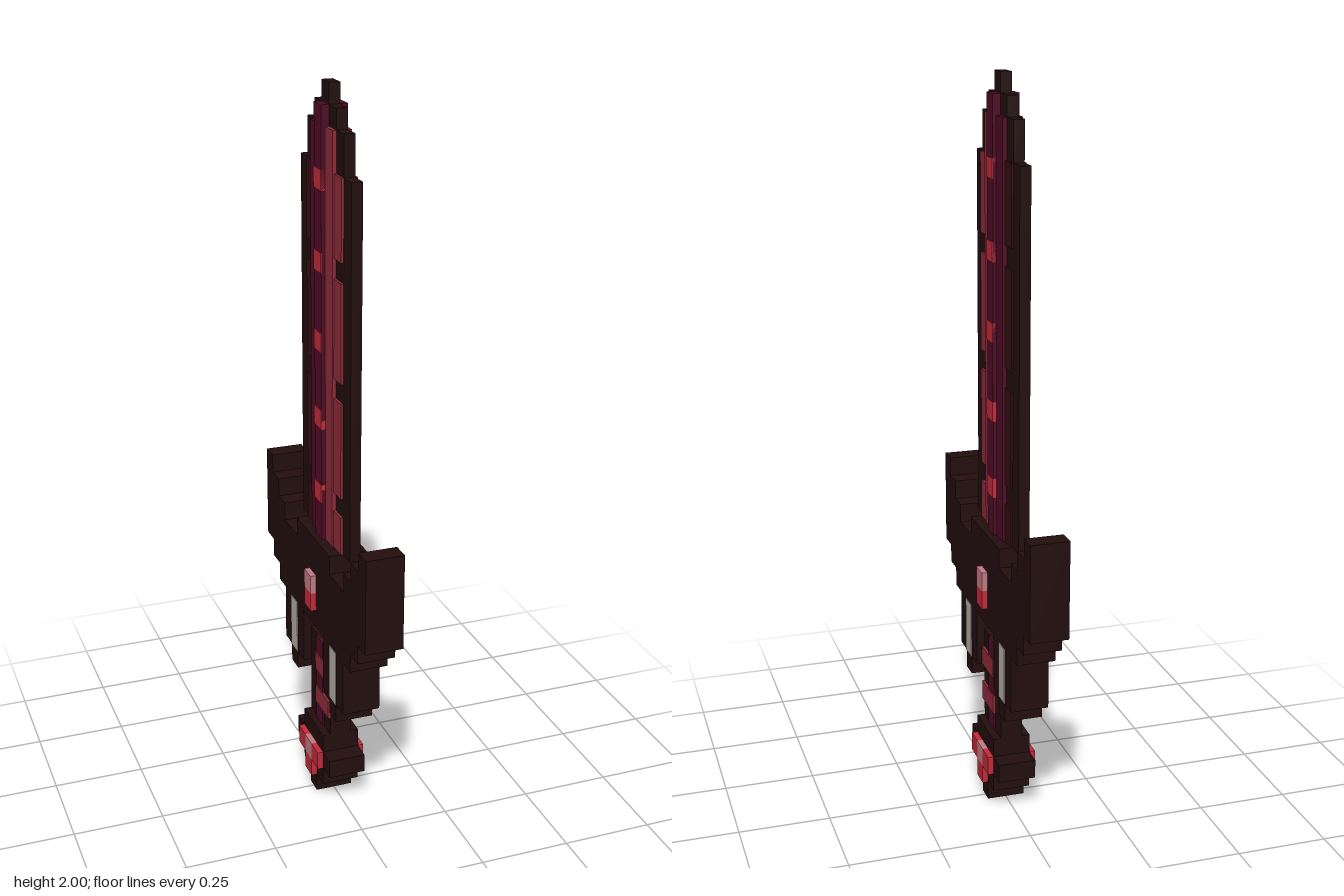
import * as THREE from 'three';

const U = 2 / 38; // edge length of one grid cell

const material = (name, color) => new THREE.MeshStandardMaterial({ name, color });

export function createModel() {
  const dark = material('charred brown', 0x220e0d);
  const rose = material('rose steel', 0x8f2b3a);
  const wine = material('wine', 0x500b25);
  const maroon = material('maroon', 0x350d10);
  const red = material('gem red', 0xc22b3a);
  const pale = material('gem highlight', 0xc27a82);
  const bone = material('bone grey', 0xb5ada5);

  const sword = new THREE.Group();
  sword.name = 'sword';
  const section = (name) => {
    const g = new THREE.Group();
    g.name = name;
    sword.add(g);
    return g;
  };

  // Block covering grid columns c0..c1 (along z) and rows r0..r1 (along y), centred on x = 0
  const block = (parent, name, mat, c0, c1, r0, r1, halfX) => {
    const mesh = new THREE.Mesh(
      new THREE.BoxGeometry(halfX * 2, (r1 - r0 + 1) * U, (c1 - c0 + 1) * U), mat);
    mesh.position.set(0, ((r0 + r1 + 1) / 2) * U, ((c0 + c1) / 2) * U);
    mesh.name = name;
    parent.add(mesh);
  };

  // Blade: thin dark outline stepping in towards the tip
  const blade = section('blade');
  [[3, 15, 33], [2, 34, 35], [1, 36, 36], [0, 37, 37]].forEach(([c, r0, r1]) =>
    block(blade, 'bladeEdge', dark, -c, c, r0, r1, 0.0146));

  // Raised panels and central ridge
  block(blade, 'bladeRidge', wine, 0, 0, 15, 36, 0.035);
  block(blade, 'innerLightPanel', rose, 1, 1, 15, 35, 0.025);
  block(blade, 'innerDarkPanel', wine, -1, -1, 15, 35, 0.0265);

  // Outer panels, broken by notches
  [[15, 16], [18, 22], [24, 28], [30, 33]].forEach(([r0, r1]) => {
    block(blade, 'outerLightPanel', rose, 2, 2, r0, r1, 0.021);
    block(blade, 'outerDarkPanel', maroon, -2, -2, r0, r1, 0.019);
  });

  // Studs along the ridge
  for (let r = 17; r <= 33; r += 4) block(blade, 'ridgeStud', red, 0, 0, r, r, 0.037);

  // Guard: centre, then mirrored stepped columns [column, bottom row, top row]
  const guard = section('guard');
  block(guard, 'guardCentre', dark, -1, 1, 10, 14, 0.052);
  const columns = [[2, 7, 14], [3, 6, 13], [4, 7, 13], [5, 10, 14], [6, 11, 15], [7, 12, 16]];
  for (const s of [1, -1]) {
    columns.forEach(([c, r0, r1]) => block(guard, 'guardWing', dark, s * c, s * c, r0, r1, 0.052));
    block(guard, 'fangInlay', bone, s * 3, s * 3, 7, 9, 0.054);
  }
  block(guard, 'guardGem', red, 0, 0, 11, 11, 0.068);
  block(guard, 'guardGemHighlight', pale, 0, 0, 12, 12, 0.068);

  // Grip with wrapped bands
  const grip = section('grip');
  block(grip, 'gripCore', dark, -1, 1, 4, 8, 0.03);
  [4, 6, 8].forEach((r) => block(grip, 'gripInlay', wine, 0, 0, r, r, 0.034));
  [5, 7].forEach((r) => block(grip, 'gripBand', rose, 0, 1, r, r, 0.037));

  // Pommel
  const pommel = section('pommel');
  [[0, 0], [1, 1], [2, 2], [1, 3]].forEach(([c, r]) =>
    block(pommel, 'pommelStep', dark, -c, c, r, r, 0.052));
  block(pommel, 'pommelGemLower', red, 0, 0, 1, 1, 0.068);
  for (const s of [1, -1]) block(pommel, 'pommelGemSide', red, s, s, 2, 2, 0.068);
  block(pommel, 'pommelGemHighlight', pale, 0, 0, 2, 2, 0.068);

  return sword;
}
